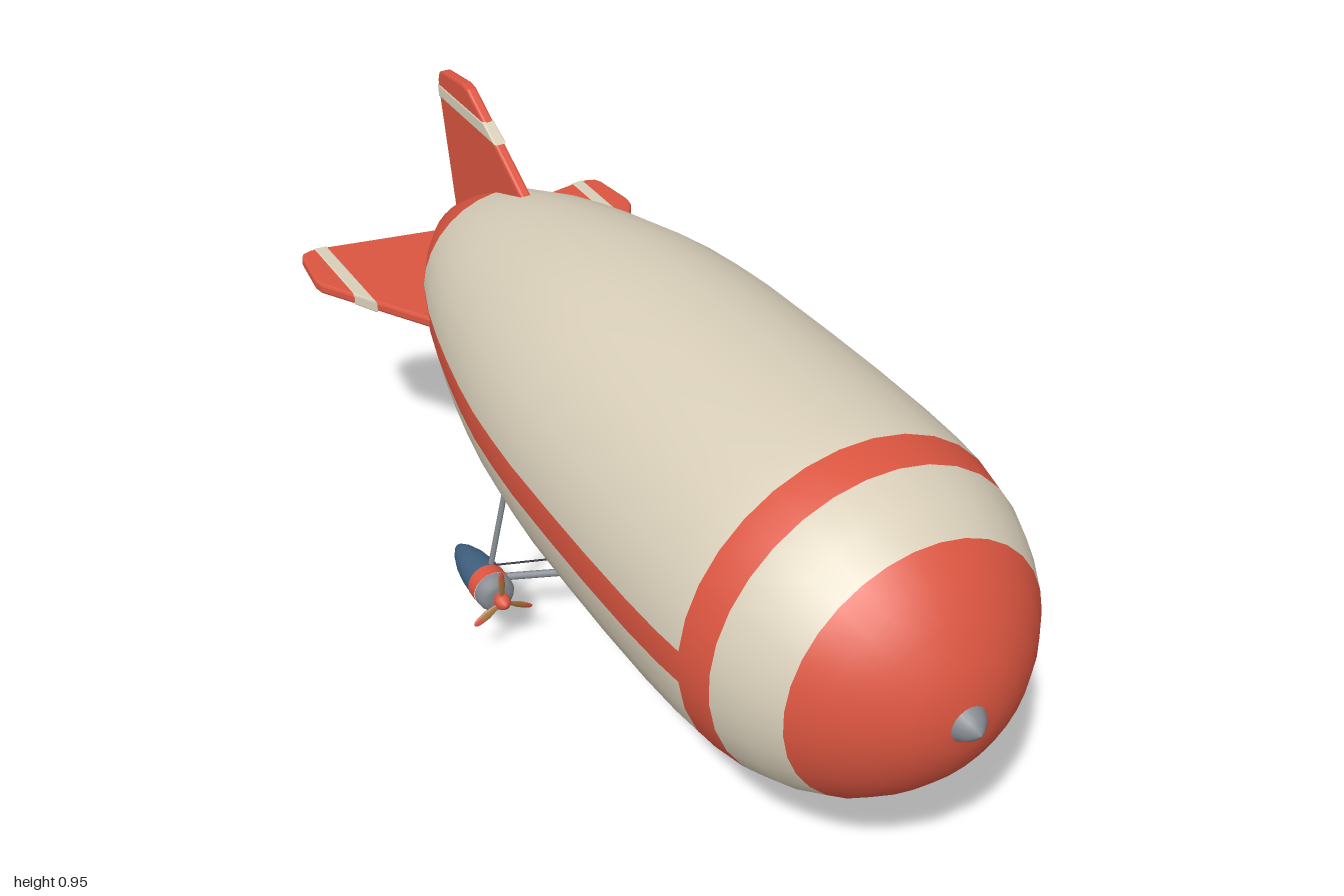
import * as THREE from 'three';
import { ConvexGeometry } from 'three/addons/geometries/ConvexGeometry.js';
import { RoundedBoxGeometry } from 'three/addons/geometries/RoundedBoxGeometry.js';

const paint = (color, extra = {}) => new THREE.MeshStandardMaterial({ color, ...extra });
const CREAM = paint(0xd9cfba), RED = paint(0xdb5540), BLUE = paint(0x3f6080), GLASS = paint(0x86add2),
  GREY = paint(0x858a90), DARK = paint(0x1f2328), WOOD = paint(0xa9773f);
const AXIS_Y = 0.567;

function add(parent, name, geometry, material, x = 0, y = 0, z = 0) {
  const mesh = new THREE.Mesh(geometry, material);
  mesh.name = name;
  mesh.position.set(x, y, z);
  parent.add(mesh);
  return mesh;
}

// Round bar between two points
function bar(parent, name, a, b, radius, material, sides = 10) {
  const p = new THREE.Vector3(...a), q = new THREE.Vector3(...b), d = q.clone().sub(p);
  const mesh = add(parent, name, new THREE.CylinderGeometry(radius, radius, d.length(), sides), material);
  mesh.position.copy(p).add(q).multiplyScalar(0.5);
  mesh.quaternion.setFromUnitVectors(new THREE.Vector3(0, 1, 0), d.normalize());
  return mesh;
}

// Lathe along z from [z, radius] pairs, listed back to front
function turned(profile, sides, start = 0) {
  const pts = profile.map(([z, r]) => new THREE.Vector2(r, z));
  return new THREE.LatheGeometry(pts, sides, start).rotateX(Math.PI / 2);
}

function buildEnvelope() {
  const hull = new THREE.Group();
  hull.name = 'envelope';
  hull.position.y = AXIS_Y;
  const profile = [[-0.97, 0], [-0.96, 0.03], [-0.935, 0.062], [-0.89, 0.1], [-0.81, 0.149], [-0.72, 0.195],
    [-0.6, 0.237], [-0.5, 0.264], [-0.4, 0.287], [-0.3, 0.307], [-0.2, 0.323], [-0.1, 0.333], [0, 0.34],
    [0.15, 0.344], [0.3, 0.346], [0.45, 0.345], [0.55, 0.341], [0.615, 0.335], [0.69, 0.32], [0.76, 0.293],
    [0.82, 0.259], [0.87, 0.215], [0.91, 0.168], [0.945, 0.11], [0.963, 0.058], [0.97, 0]];
  const SIDES = 32, full = turned(profile, SIDES, Math.PI / SIDES), index = full.index.array;

  // Sort the faces into cream panels and red bands so normals stay continuous
  const faces = { cream: [], red: [] };
  let at = 0;
  for (let side = 0; side < SIDES; side++) {
    for (let j = 0; j < profile.length - 1; j++) {
      const z = (profile[j][0] + profile[j + 1][0]) / 2;
      const stripe = (side === 7 || side === 23) && z < 0.615;
      const red = z < -0.72 || z > 0.82 || (z > 0.615 && z < 0.69) || stripe;
      // A pole cell may hold only one triangle
      const isPole = j === 0 || j === profile.length - 2;
      const count = index.length === SIDES * (profile.length - 1) * 6 || !isPole ? 6 : 3;
      for (let k = 0; k < count; k++) (red ? faces.red : faces.cream).push(index[at++]);
    }
  }
  for (const [key, material] of [['cream', CREAM], ['red', RED]]) {
    const g = full.clone();
    g.setIndex(faces[key]);
    add(hull, key + 'EnvelopePanels', g, material);
  }
  add(hull, 'noseCap', turned([[0.95, 0.036], [0.966, 0.035], [0.982, 0.024], [0.994, 0.01], [1, 0]], 20), GREY);

  // Four tail fins, outlined as [z, distance from axis]
  const slab = (outline, depth, bevel) => {
    const shape = new THREE.Shape(outline.map(([z, r]) => new THREE.Vector2(z, r)));
    return new THREE.ExtrudeGeometry(shape, { depth: depth - 2 * bevel, bevelEnabled: true, bevelThickness: bevel,
      bevelSize: bevel, bevelOffset: -bevel, bevelSegments: 2 }).translate(0, 0, bevel - depth / 2).rotateY(-Math.PI / 2);
  };
  const fin = slab([[-0.57, 0.19], [-0.6, 0.238], [-0.845, 0.381], [-0.87, 0.385], [-0.975, 0.373],
    [-0.992, 0.365], [-1, 0.345], [-0.998, 0.315], [-0.945, 0.04], [-0.8, 0.04]], 0.024, 0.006);
  const band = slab([[-0.712, 0.306], [-0.768, 0.336], [-1, 0.336], [-0.997, 0.306]], 0.027, 0.004);
  for (let i = 0; i < 4; i++) {
    const group = new THREE.Group();
    group.name = 'tailFin';
    group.rotation.z = i * Math.PI / 2;
    add(group, 'finPanel', fin, RED);
    add(group, 'finBand', band, CREAM);
    hull.add(group);
  }
  return hull;
}

function porthole(parent, side, z, pane = GLASS) {
  const ring = add(parent, 'portholeRing', new THREE.TorusGeometry(0.018, 0.0035, 8, 20), GREY, side * 0.091, 0.126, z);
  ring.rotation.y = Math.PI / 2;
  const disc = add(parent, 'portholeGlass', new THREE.CylinderGeometry(0.017, 0.017, 0.005, 20), pane, side * 0.09, 0.126, z);
  disc.rotation.z = Math.PI / 2;
}

function buildGondola() {
  const g = new THREE.Group();
  g.name = 'gondola';
  const mirrored = (list) => list.flatMap(([x, y, z]) => [new THREE.Vector3(x, y, z), new THREE.Vector3(-x, y, z)]);
  const block = (list) => new ConvexGeometry(mirrored(list));
  add(g, 'cabin', block([[0.057, 0.15, 0.312], [0.057, 0.09, 0.312], [0.052, 0.055, 0.306],
    [0.078, 0.187, 0.25], [0.09, 0.175, 0.25], [0.09, 0.05, 0.25], [0.076, 0.018, 0.255],
    [0.078, 0.187, -0.165], [0.09, 0.175, -0.17], [0.09, 0.045, -0.17], [0.076, 0.016, -0.16],
    [0.068, 0.165, -0.2], [0.068, 0.055, -0.2]]), BLUE);

  // Wraparound cockpit glazing with mullions
  const plan = [[0.0915, 0.2], [0.0915, 0.2505], [0.058, 0.3135]];
  add(g, 'cockpitGlass', block(plan.flatMap(([x, z]) => [[x, 0.096, z], [x, 0.148, z]])), GLASS);
  for (const s of [-1, 1]) {
    for (const [x, z] of [...plan, [0.0915, 0.226]])
      bar(g, 'mullion', [s * x, 0.094, z], [s * x, 0.15, z], 0.003, BLUE, 6);
    for (const y of [0.094, 0.15])
      for (let i = 0; i < 2; i++)
        bar(g, 'windowRail', [s * plan[i][0], y, plan[i][1]], [s * plan[i + 1][0], y, plan[i + 1][1]], 0.003, BLUE, 6);
    add(g, 'sideTrim', new THREE.BoxGeometry(0.005, 0.006, 0.31), RED, s * 0.0905, 0.165, 0.035);
    add(g, 'rubbingStrip', new THREE.BoxGeometry(0.006, 0.005, 0.38), DARK, s * 0.09, 0.043, 0.035);
  }
  for (const y of [0.094, 0.15]) bar(g, 'windowRail', [-0.058, y, 0.3135], [0.058, y, 0.3135], 0.003, BLUE, 6);
  add(g, 'roof', new RoundedBoxGeometry(0.15, 0.016, 0.42, 2, 0.005), RED, 0, 0.19, 0.04);
  add(g, 'keel', new THREE.BoxGeometry(0.006, 0.02, 0.38), DARK, 0, 0.01, 0.03);
  for (const z of [0.145, 0.078]) porthole(g, 1, z);
  porthole(g, 1, -0.1, DARK);
  for (let i = 0; i < 5; i++) porthole(g, -1, 0.145 - i * 0.065);

  // Door, step and handrail on the left side
  add(g, 'door', new THREE.BoxGeometry(0.006, 0.12, 0.09), DARK, 0.091, 0.1, -0.005);
  for (const z of [0.043, -0.053]) add(g, 'doorPost', new THREE.BoxGeometry(0.014, 0.132, 0.009), RED, 0.094, 0.1, z);
  for (const y of [0.038, 0.162]) add(g, 'doorRail', new THREE.BoxGeometry(0.014, 0.009, 0.1), RED, 0.094, y, -0.005);
  add(g, 'step', new THREE.BoxGeometry(0.046, 0.006, 0.09), GREY, 0.102, 0.023, -0.005);
  for (const z of [0.036, -0.046]) {
    const path = new THREE.CatmullRomCurve3([[0.122, 0.023], [0.122, 0.07], [0.121, 0.11], [0.113, 0.118], [0.092, 0.122]]
      .map(([x, y]) => new THREE.Vector3(x, y, z)));
    add(g, 'handrail', new THREE.TubeGeometry(path, 16, 0.0025, 6), GREY);
  }
  add(g, 'tailLamp', new THREE.SphereGeometry(0.009, 12, 8), RED, 0, 0.13, -0.202);
  return g;
}

function buildEngine(s) {
  const g = new THREE.Group();
  g.name = s > 0 ? 'leftEngine' : 'rightEngine';
  g.position.set(s * 0.298, 0.145, 0);
  add(g, 'nacelle', turned([[-0.382, 0], [-0.376, 0.011], [-0.355, 0.022], [-0.32, 0.033], [-0.28, 0.039], [-0.24, 0.041]], 20), BLUE);
  add(g, 'nacelleBand', turned([[-0.245, 0.0415], [-0.213, 0.0425]], 20), RED);
  add(g, 'cowl', turned([[-0.213, 0.0415], [-0.195, 0.04], [-0.185, 0.033], [-0.182, 0.02], [-0.182, 0]], 20), GREY);
  add(g, 'spinner', turned([[-0.185, 0.012], [-0.172, 0.017], [-0.16, 0.016], [-0.15, 0.009], [-0.146, 0]], 16), RED);
  const lathe = (pts) => new THREE.LatheGeometry(pts.map(([r, y]) => new THREE.Vector2(r, y)), 12).scale(1, 1, 0.3).rotateY(0.35);
  const blade = lathe([[0.004, 0.008], [0.007, 0.025], [0.0095, 0.042], [0.0085, 0.056]]);
  const tip = lathe([[0.0085, 0.056], [0.007, 0.068], [0.004, 0.074], [0, 0.076]]);
  for (let i = 0; i < 3; i++) {
    const arm = new THREE.Group();
    arm.name = 'propellerBlade';
    arm.position.z = -0.167;
    arm.rotation.z = i * Math.PI * 2 / 3;
    add(arm, 'blade', blade, WOOD);
    add(arm, 'bladeTip', tip, RED);
    g.add(arm);
  }
  return g;
}

function buildRigging() {
  const g = new THREE.Group();
  g.name = 'rigging';
  for (const s of [-1, 1]) {
    // Struts carrying the gondola and engines
    bar(g, 'gondolaStrut', [s * 0.055, 0.19, 0.205], [s * 0.075, 0.25, 0.215], 0.007, GREY);
    bar(g, 'gondolaStrut', [s * 0.055, 0.19, -0.14], [s * 0.075, 0.255, -0.125], 0.007, GREY);
    bar(g, 'engineArm', [s * 0.07, 0.143, -0.165], [s * 0.275, 0.143, -0.25], 0.008, GREY);
    bar(g, 'engineStrut', [s * 0.284, 0.175, -0.25], [s * 0.24, 0.36, -0.25], 0.006, GREY);
    // Stay cables
    for (const [a, b] of [
      [[0.07, 0.195, 0.24], [0.16, 0.263, 0.35]], [[0.05, 0.195, 0.245], [0.06, 0.243, 0.6]],
      [[0.07, 0.195, -0.15], [0.17, 0.312, -0.3]], [[0.05, 0.195, -0.16], [0.06, 0.292, -0.43]],
      [[0.07, 0.195, -0.15], [0.285, 0.178, -0.25]]])
      bar(g, 'cable', [s * a[0], a[1], a[2]], [s * b[0], b[1], b[2]], 0.0022, DARK, 5);
  }
  return g;
}

export function createModel() {
  const model = new THREE.Group();
  model.name = 'airship';
  model.add(buildEnvelope(), buildGondola(), buildEngine(1), buildEngine(-1), buildRigging());
  return model;
}
